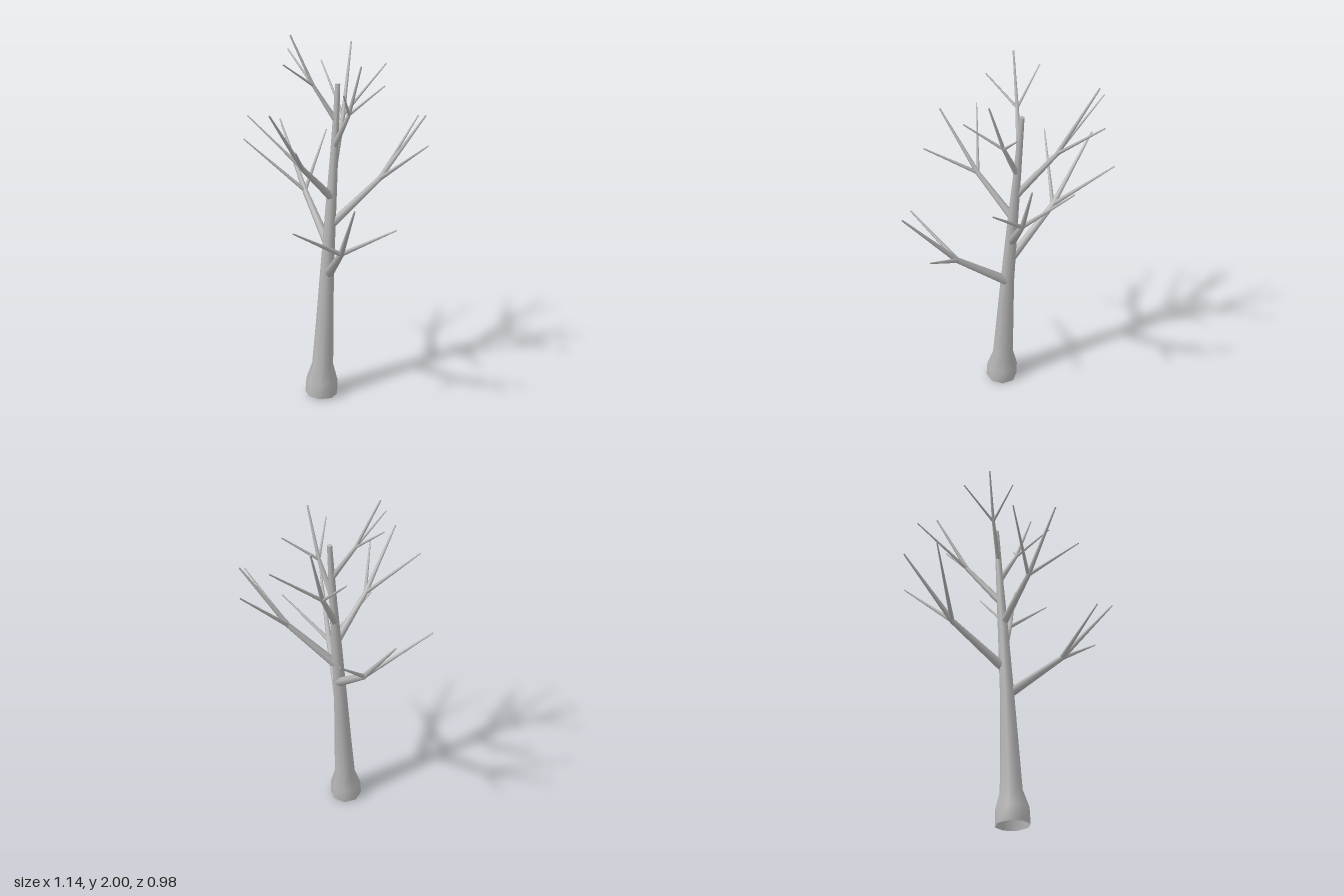
import * as THREE from 'three';

const bark = new THREE.MeshStandardMaterial({ color: 0xb6b6b6, side: THREE.DoubleSide });
bark.name = 'bark grey';

// Smooth tapered limb: rings of `sides` points along a path of [x, y, z, radius]
function limb(name, path, sides) {
  const pts = path.map(p => new THREE.Vector3(p[0], p[1], p[2]));
  const pos = [], index = [];
  const last = pts.length - 1;
  pts.forEach((p, i) => {
    const dir = pts[Math.min(i + 1, last)].clone().sub(pts[Math.max(i - 1, 0)]).normalize();
    const turn = new THREE.Quaternion().setFromUnitVectors(new THREE.Vector3(0, 1, 0), dir);
    for (let s = 0; s < sides; s++) {
      const a = s / sides * Math.PI * 2;
      const v = new THREE.Vector3(Math.sin(a), 0, Math.cos(a)).multiplyScalar(path[i][3]);
      pos.push(...v.applyQuaternion(turn).add(p).toArray());
    }
  });
  for (let i = 0; i < last; i++) {
    for (let s = 0; s < sides; s++) {
      const a = i * sides + s, b = i * sides + (s + 1) % sides;
      index.push(a, b, b + sides, a, b + sides, a + sides);
    }
  }
  // Flat tip, with its own vertices so the rim stays sharp
  const rim = pos.slice(last * sides * 3);
  const first = pos.length / 3;
  pos.push(...rim);
  for (let s = 1; s < sides - 1; s++) index.push(first, first + s, first + s + 1);

  const geo = new THREE.BufferGeometry();
  geo.setAttribute('position', new THREE.Float32BufferAttribute(pos, 3));
  geo.setIndex(index);
  geo.computeVertexNormals();
  const mesh = new THREE.Mesh(geo, bark);
  mesh.name = name;
  return mesh;
}

// Each branch: root, fork, main tip, two side-twig tips, root radius
const BRANCHES = [
  { root: [0.017, 0.725, 0.04], fork: [0.263, 0.937, 0.167], tip: [0.519, 1.265, 0.305],
    twigs: [[0.275, 1.128, 0.488], [0.569, 1.13, 0.072]], r: 0.027 },
  { root: [0, 0.865, 0.022], fork: [-0.29, 1.105, -0.045], tip: [-0.57, 1.455, -0.093],
    twigs: [[-0.443, 1.38, -0.332], [-0.523, 1.395, 0.197]], r: 0.026 },
  { root: [0.005, 1.0, 0.0], fork: [0.16, 1.245, -0.188], tip: [0.315, 1.592, -0.37],
    twigs: [[0.142, 1.543, -0.49], [0.457, 1.478, -0.246]], r: 0.024 },
  { root: [-0.003, 1.14, 0.0], fork: [0.022, 1.35, 0.222], tip: [0.052, 1.667, 0.45],
    twigs: [[-0.19, 1.62, 0.406], [0.218, 1.51, 0.421]], r: 0.022 },
  { root: [-0.008, 1.28, -0.01], fork: [-0.127, 1.54, -0.183], tip: [-0.246, 1.91, -0.345],
    twigs: [[-0.105, 1.793, -0.48], [-0.41, 1.793, -0.267]], r: 0.02 },
  { root: [-0.008, 1.42, -0.02], fork: [0.103, 1.61, -0.024], tip: [0.202, 1.873, -0.016],
    twigs: [[0.231, 1.752, 0.126], [0.193, 1.752, -0.188]], r: 0.017 },
  { root: [-0.012, 1.56, -0.03], fork: [-0.095, 1.74, 0.05], tip: [-0.173, 2.0, 0.137],
    twigs: [[-0.292, 1.907, 0.06], [-0.09, 1.873, 0.25]], r: 0.015 },
];

export function createModel() {
  const tree = new THREE.Group();
  tree.name = 'bareTree';

  // Leaning trunk with a flared, open foot
  tree.add(limb('trunk', [
    [0.003, 0.005, 0.086, 0.09],
    [0.003, 0.09, 0.081, 0.088],
    [0.002, 0.185, 0.074, 0.059],
    [0.002, 0.45, 0.057, 0.048],
    [0, 0.72, 0.04, 0.038],
    [-0.004, 1.1, 0.007, 0.029],
    [-0.008, 1.4, -0.02, 0.021],
    [-0.013, 1.75, -0.047, 0.013],
  ], 8));

  // Branches, each forking into a main shoot and two twigs
  BRANCHES.forEach(({ root, fork, tip, twigs, r }, i) => {
    const branch = new THREE.Group();
    branch.name = `branch${i + 1}`;
    branch.add(limb('bough', [[...root, r], [...fork, r * 0.6], [...tip, 0.0045]], 7));
    twigs.forEach(t => branch.add(limb('twig', [[...fork, r * 0.48], [...t, 0.0035]], 6)));
    tree.add(branch);
  });
  return tree;
}
